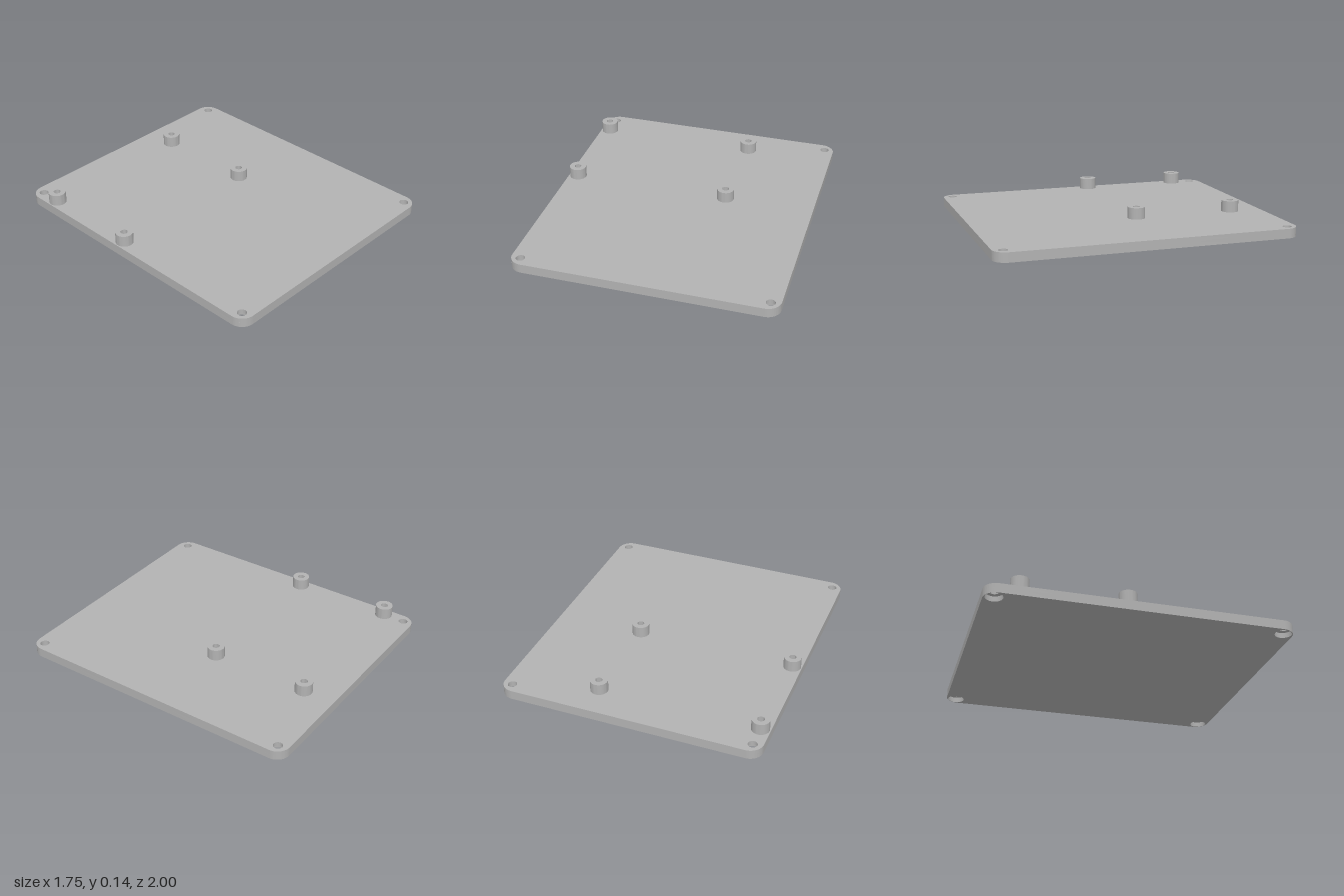
import * as THREE from 'three';
import { toCreasedNormals } from 'three/addons/utils/BufferGeometryUtils.js';

const HALF_W = 0.875, HALF_D = 1, CORNER = 0.09;
const PLATE_TOP = 0.063, BORE_TOP = 0.035, POST_TOP = 0.14;
const HOLE_X = 0.81, HOLE_Z = 0.933;

// Rounded rectangle with one round hole near each corner
function plateShape(holeRadius) {
  const s = new THREE.Shape();
  const x = HALF_W - CORNER, y = HALF_D - CORNER;
  s.absarc(x, y, CORNER, 0, Math.PI / 2);
  s.absarc(-x, y, CORNER, Math.PI / 2, Math.PI);
  s.absarc(-x, -y, CORNER, Math.PI, Math.PI * 1.5);
  s.absarc(x, -y, CORNER, Math.PI * 1.5, Math.PI * 2);
  for (const sx of [-1, 1]) for (const sy of [-1, 1]) {
    const hole = new THREE.Path();
    hole.absarc(sx * HOLE_X, sy * HOLE_Z, holeRadius, 0, Math.PI * 2, true);
    s.holes.push(hole);
  }
  return s;
}

function plateLayer(name, holeRadius, y0, y1, material) {
  const g = new THREE.ExtrudeGeometry(plateShape(holeRadius), {
    depth: y1 - y0, bevelEnabled: false, curveSegments: 16,
  });
  g.rotateX(-Math.PI / 2);
  g.translate(0, y0, 0);
  const mesh = new THREE.Mesh(toCreasedNormals(g, 0.6), material);
  mesh.name = name;
  return mesh;
}

export function createModel() {
  const model = new THREE.Group();
  model.name = 'mountingPlate';
  const grey = new THREE.MeshStandardMaterial({ color: 0xb2b2b2 });
  grey.name = 'grey';

  // Plate: wide counterbores below, narrow screw holes above
  model.add(plateLayer('plateLower', 0.057, 0, BORE_TOP, grey));
  model.add(plateLayer('plateUpper', 0.03, BORE_TOP, PLATE_TOP, grey));

  // Four hollow standoffs
  const profile = [
    [0.058, PLATE_TOP], [0.058, POST_TOP], [0.023, POST_TOP], [0.023, PLATE_TOP],
  ].map(([r, y]) => new THREE.Vector2(r, y));
  const postGeometry = toCreasedNormals(new THREE.LatheGeometry(profile, 48), 0.6);
  for (const x of [-0.81, 0.267]) for (const z of [-0.78, -0.1]) {
    const post = new THREE.Mesh(postGeometry, grey);
    post.name = 'standoff';
    post.position.set(x, 0, z);
    model.add(post);
  }
  return model;
}
